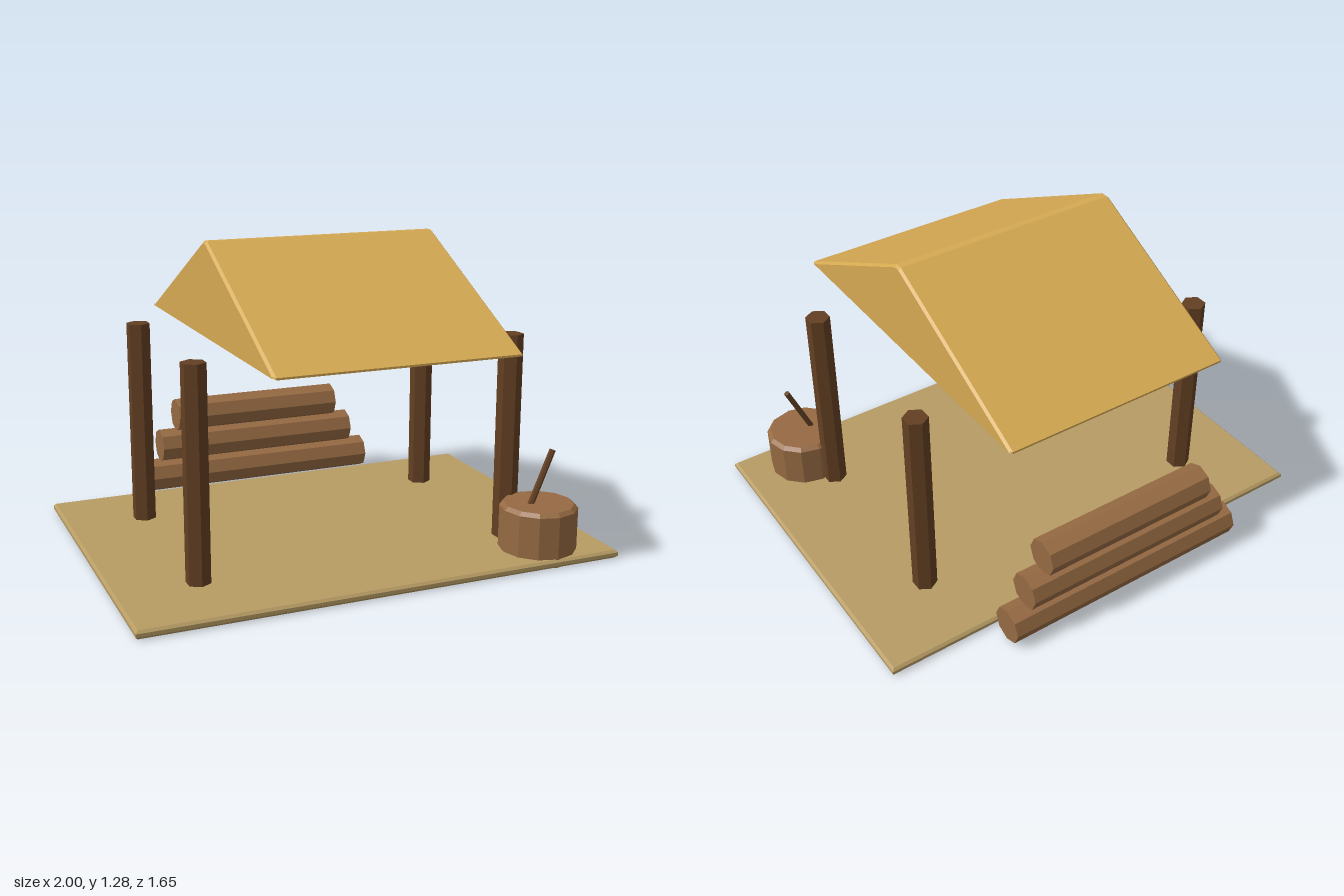
import * as THREE from 'three';

const mat = (name, color) => Object.assign(new THREE.MeshStandardMaterial({ color, flatShading: true }), { name });

export function createModel() {
  const sand = mat('sandy ground', 0xb79b63);
  const straw = mat('straw roof', 0xd5a952);
  const darkWood = mat('dark wood', 0x633f22);
  const logWood = mat('log wood', 0x966a42);

  const model = new THREE.Group();
  model.name = 'woodcutterShelter';

  function add(name, geometry, material, x, y, z) {
    const mesh = new THREE.Mesh(geometry, material);
    mesh.name = name;
    mesh.position.set(x, y, z);
    model.add(mesh);
    return mesh;
  }

  // Extrude an outline with a single chamfer that stays inside it, centred on its depth
  function chamfered(points, depth, bevel) {
    const shape = new THREE.Shape(points.map(([x, y]) => new THREE.Vector2(x, y)));
    const geometry = new THREE.ExtrudeGeometry(shape, {
      depth: depth - 2 * bevel, bevelEnabled: true, bevelSegments: 1,
      bevelSize: bevel, bevelThickness: bevel, bevelOffset: -bevel,
    });
    return geometry.translate(0, 0, bevel - depth / 2);
  }

  // Ground slab
  const slab = chamfered([[-1, -0.72], [1, -0.72], [1, 0.72], [-1, 0.72]], 0.034, 0.01);
  add('groundSlab', slab.rotateX(-Math.PI / 2), sand, 0, 0.017, 0.06);

  // Gabled roof block, its ridge running along x
  const gable = [[-0.765, 0], [0.765, 0], [0.765, 0.008], [0.016, 0.383], [-0.016, 0.383], [-0.765, 0.008]];
  add('roof', chamfered(gable, 0.99, 0.01).rotateY(-Math.PI / 2), straw, -0.003, 0.892, 0.06);

  // Four hexagonal posts
  const post = new THREE.CylinderGeometry(0.05, 0.05, 0.893, 6);
  for (const x of [-0.669, 0.663])
    for (const z of [-0.333, 0.447]) add('post', post, darkWood, x, 0.4455, z);

  // Log pile behind the slab, shorter towards the top
  [1.1, 0.94, 0.78].forEach((length, i) => {
    const log = new THREE.CylinderGeometry(0.076, 0.076, length, 8).rotateZ(Math.PI / 2);
    add('log', log, logWood, -0.009, 0.081 + i * 0.139, -0.749);
  });

  // Chopping stump with a chamfered rim
  const rim = [[0, -0.001], [0.158, -0.001], [0.158, 0.208], [0.142, 0.223], [0, 0.223]];
  add('stump', new THREE.LatheGeometry(rim.map(([r, y]) => new THREE.Vector2(r, y)), 12), logWood, 0.719, 0, 0.615);

  // Leaning tool handle
  const handle = add('handle', new THREE.CylinderGeometry(0.013, 0.013, 0.3, 6), darkWood, 0.715, 0.3, 0.615);
  handle.rotation.z = -0.4;

  return model;
}
